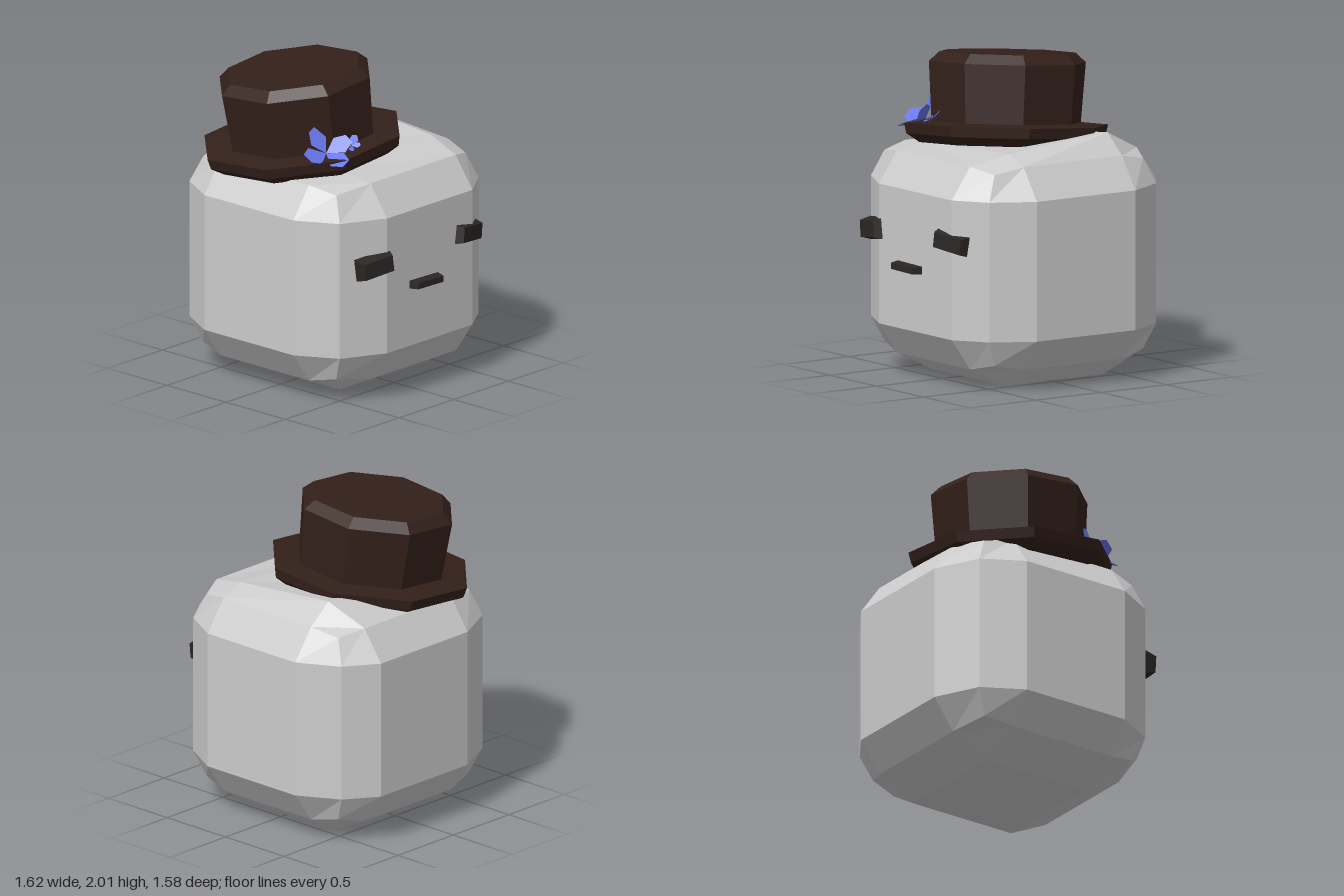
import * as THREE from 'three';

const paint = (color, side = THREE.FrontSide) =>
  new THREE.MeshStandardMaterial({ color, side, flatShading: true });

function addMesh(parent, name, geometry, material) {
  const mesh = new THREE.Mesh(geometry, material);
  mesh.name = name;
  parent.add(mesh);
  return mesh;
}

// Cube of 3 x 3 panels per side, rounded by pulling in its edges and corners
function bodyGeometry() {
  const geo = new THREE.BoxGeometry(6, 6, 6, 3, 3, 3);
  const pos = geo.attributes.position;
  const inner = [0.375, 0.44, 0.39];
  const outer = [[0.775, 0.765, 0.778], [0.635, 0.638, 0.635], [0.565, 0.6, 0.59]];
  for (let i = 0; i < pos.count; i++) {
    const v = [pos.getX(i), pos.getY(i), pos.getZ(i)];
    const extremes = v.filter((c) => Math.abs(c) > 2).length;
    const p = v.map((c, k) => Math.sign(c) * (Math.abs(c) > 2 ? outer[extremes - 1][k] : inner[k]));
    p[0] -= 0.03;
    p[1] += 0.765;
    p[2] -= Math.abs(v[2]) > 2 ? 0.02 : 0.057;
    // Uneven top panel
    if (v[1] > 2 && extremes === 1) {
      if (v[0] > 0) p[1] = v[2] > 0 ? 1.43 : 1.465;
      else if (v[2] > 0) p[1] = 1.44;
      if (v[2] < 0) p[2] = -0.5;
    }
    pos.setXYZ(i, ...p);
  }
  geo.computeVertexNormals();
  return geo;
}

// Box whose outer face is smaller than its base
function plateGeometry(w, h, d) {
  const geo = new THREE.BoxGeometry(w, h, d);
  const pos = geo.attributes.position;
  for (let i = 0; i < pos.count; i++) {
    if (pos.getZ(i) > 0) {
      pos.setX(i, pos.getX(i) * 0.84);
      pos.setY(i, pos.getY(i) * 0.72);
    }
  }
  geo.computeVertexNormals();
  return geo;
}

// Flat pentagon from the flower's centre to the petal's end
function petalGeometry(centre, end, facing) {
  const c = new THREE.Vector3(...centre);
  const along = new THREE.Vector3(...end).sub(c);
  const across = along.clone().cross(facing).setLength(along.length() * 0.36);
  const at = (t, s) => c.clone().addScaledVector(along, t).addScaledVector(across, s);
  const [base, s1, t1, t2, s2] = [at(0, 0), at(0.6, 1), at(1, 0.45), at(0.92, -0.55), at(0.5, -0.95)];
  const geo = new THREE.BufferGeometry().setFromPoints([base, s1, t1, base, t1, t2, base, t2, s2]);
  geo.computeVertexNormals();
  return geo;
}

export function createModel() {
  const model = new THREE.Group();
  model.name = 'blockHeadWithHat';
  const grey = paint(0xcccccc);
  const brown = paint(0x33201a);
  const dark = paint(0x2b2725);
  const blue = paint(0x6a78f0, THREE.DoubleSide);

  addMesh(model, 'body', bodyGeometry(), grey);

  // Face on the +x side
  const face = new THREE.Group();
  face.name = 'face';
  model.add(face);
  const features = [
    ['rightEye', 0.255, 0.145, 0.08, [0.73, 0.91, 0.42], -0.22, 0.13],
    ['leftEye', 0.265, 0.135, 0.08, [0.73, 0.933, -0.42], 0.22, -0.13],
    ['mouth', 0.27, 0.055, 0.09, [0.765, 0.722, 0], 0, -0.02],
  ];
  for (const [name, w, h, d, at, yaw, roll] of features) {
    const mesh = addMesh(face, name, plateGeometry(w, h, d), dark);
    mesh.position.set(...at);
    mesh.rotation.set(0, Math.PI / 2 + yaw, roll, 'YXZ');
  }

  // Tilted eight-sided hat
  const hat = new THREE.Group();
  hat.name = 'hat';
  hat.position.set(-0.115, 1.52, 0.18);
  hat.quaternion.setFromUnitVectors(
    new THREE.Vector3(0, 1, 0), new THREE.Vector3(-0.085, 1, 0.085).normalize());
  model.add(hat);
  const turn = (profile) => new THREE.LatheGeometry(
    profile.map(([r, y]) => new THREE.Vector2(r, y)), 8, Math.PI / 8);
  addMesh(hat, 'brim', turn([[0, -0.12], [0.55, -0.12], [0.635, -0.065], [0.65, 0], [0.46, 0.015], [0, 0.015]]), brown);
  addMesh(hat, 'crown', turn([[0.475, 0], [0.5, 0.385], [0.435, 0.445], [0, 0.445]]), brown);

  // Flowers tucked against the crown
  const facing = new THREE.Vector3(0.55, 0.7, 0.4);
  const flowers = [
    ['largeFlower', [0.32, 1.56, 0.43],
      [[0.42, 1.655, 0.32], [0.51, 1.535, 0.45], [0.33, 1.575, 0.62], [0.24, 1.72, 0.47]]],
    ['smallFlower', [0.39, 1.585, 0.27],
      [[0.365, 1.64, 0.215], [0.435, 1.6, 0.24], [0.425, 1.57, 0.31], [0.365, 1.6, 0.3]]],
  ];
  for (const [name, centre, ends] of flowers) {
    const flower = new THREE.Group();
    flower.name = name;
    model.add(flower);
    for (const end of ends) addMesh(flower, 'petal', petalGeometry(centre, end, facing), blue);
  }

  return model;
}
